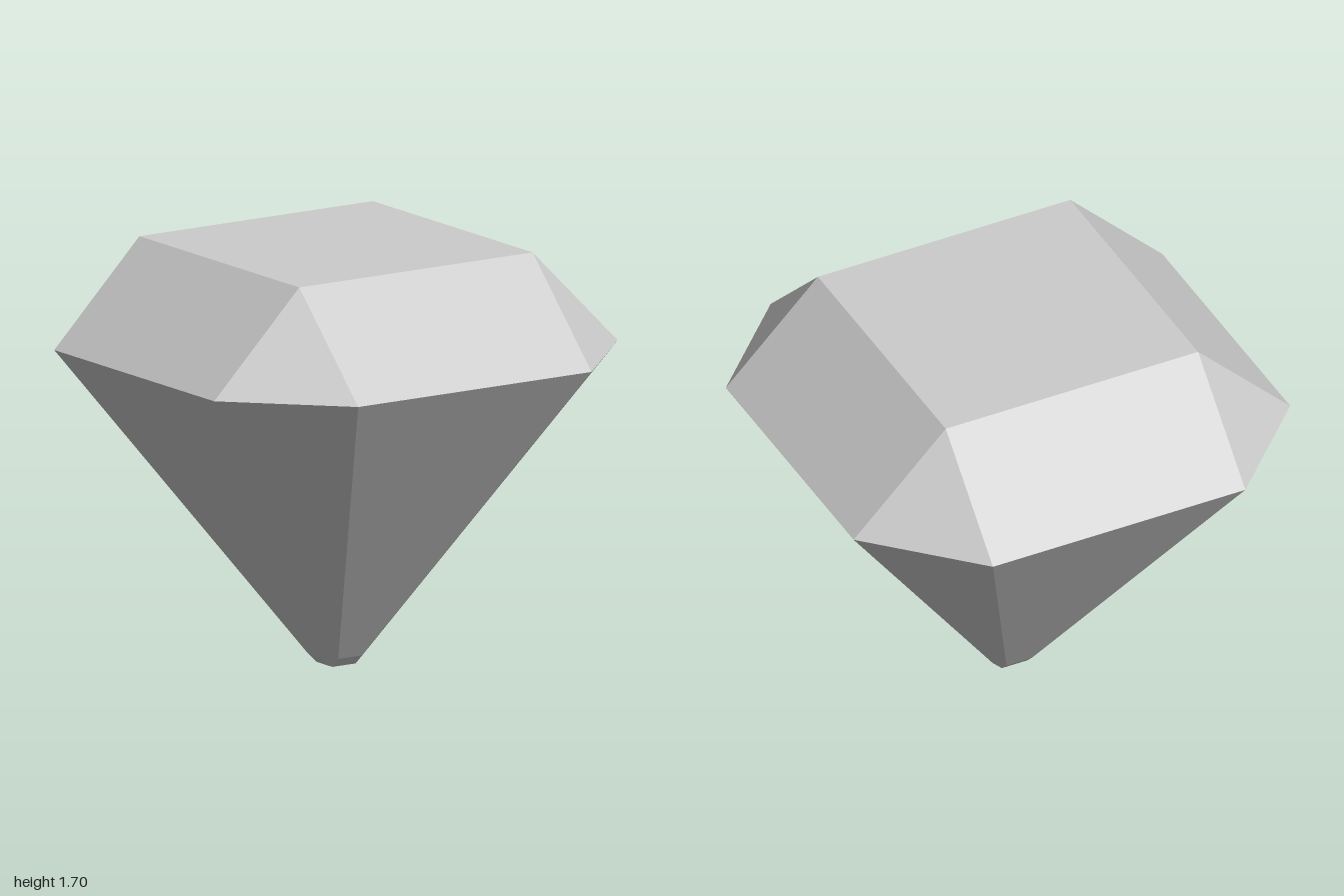
import * as THREE from 'three';
import { ConvexGeometry } from 'three/addons/geometries/ConvexGeometry.js';

// Repeats corner points [x, z] in four quarter turns at height y
function ring(corner, y, scale = 1) {
  const points = [];
  for (let [x, z] of corner) {
    for (let i = 0; i < 4; i++) {
      points.push(new THREE.Vector3(x * scale, y, z * scale));
      [x, z] = [-z, x];
    }
  }
  return points;
}

export function createModel() {
  const group = new THREE.Group();
  group.name = 'gem';

  const square = [[0.59, -0.53]];
  const octagon = [[0.61, -0.94], [1, -0.51]];

  // Faceted stone: flat table, wide girdle, tapering pavilion, small blunt tip
  const geometry = new ConvexGeometry([
    ...ring(square, 1.7),
    ...ring(octagon, 1.29),
    ...ring(octagon, 0.04, 0.1),
    ...ring(square, 0, 0.1),
  ]);
  const material = new THREE.MeshStandardMaterial({ color: 0xcccccc, flatShading: true });
  const stone = new THREE.Mesh(geometry, material);
  stone.name = 'cutStone';
  group.add(stone);
  return group;
}
